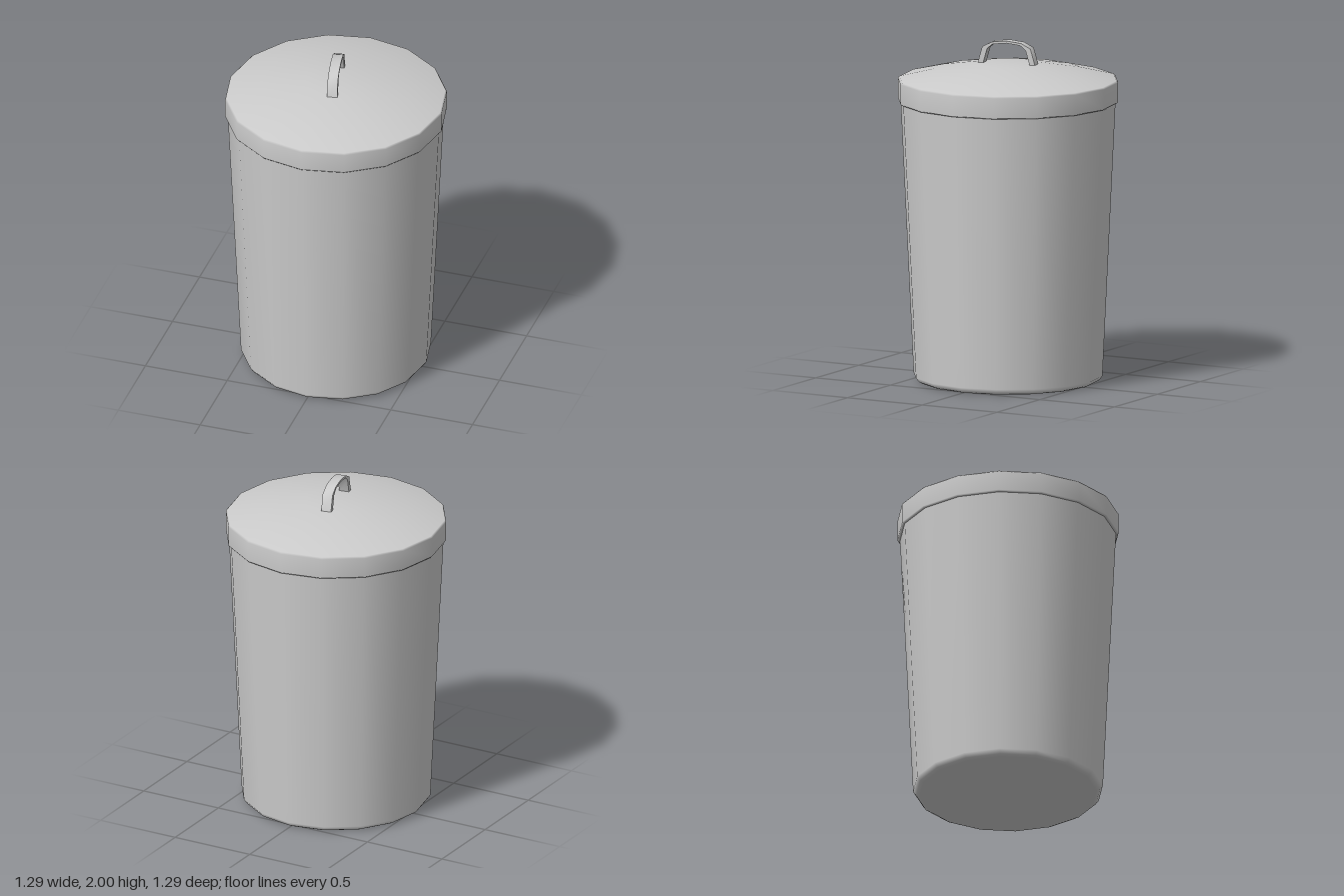
import * as THREE from 'three';
import { toCreasedNormals } from 'three/addons/utils/BufferGeometryUtils.js';

const SIDES = 16;

const material = () => new THREE.MeshStandardMaterial({ color: 0xcccccc });

// Sixteen-sided turned part; points are [radius, height], bottom to top
function turned(name, points) {
  const profile = points.map(([r, y]) => new THREE.Vector2(r, y));
  const mesh = new THREE.Mesh(new THREE.LatheGeometry(profile, SIDES), material());
  mesh.name = name;
  return mesh;
}

// Arched strap: outer edge followed by the inner edge, mirrored about the middle
function createHandle() {
  const outer = [[0.178, 1.855], [0.148, 1.96], [0.09, 1.99], [0, 2]];
  const inner = [[0, 1.987], [0.085, 1.977], [0.118, 1.95], [0.145, 1.855]];
  const mirror = (side) => side.slice().reverse().map(([x, y]) => [-x, y]);
  const outline = [
    ...outer, ...mirror(outer).slice(1),
    ...mirror(inner), ...inner.slice(1),
  ];
  // the mirrored inner edge runs left to right, so the outline closes at the right foot
  const shape = new THREE.Shape(outline.map(([x, y]) => new THREE.Vector2(x, y)));
  const width = 0.06;
  let geometry = new THREE.ExtrudeGeometry(shape, { depth: width, bevelEnabled: false });
  geometry.translate(0, 0, -width / 2);
  geometry.rotateY(-Math.PI / 2);
  geometry = toCreasedNormals(geometry, 1);
  const mesh = new THREE.Mesh(geometry, material());
  mesh.name = 'handle';
  mesh.rotation.y = 0.19;
  return mesh;
}

export function createModel() {
  const model = new THREE.Group();
  model.name = 'bin';

  // Tapered can with a chamfered, closed base
  model.add(turned('body', [
    [0, 0], [0.515, 0], [0.535, 0.01], [0.553, 0.035], [0.63, 1.66],
  ]));

  // Lid: underside, skirt, shallow dome and flat crown
  const lid = new THREE.Group();
  lid.name = 'lid';
  lid.add(turned('lidRim', [
    [0.6, 1.645], [0.638, 1.642], [0.645, 1.65], [0.645, 1.765], [0.636, 1.775],
    [0.44, 1.822], [0.18, 1.865], [0, 1.866],
  ]));
  lid.add(createHandle());
  model.add(lid);

  return model;
}
